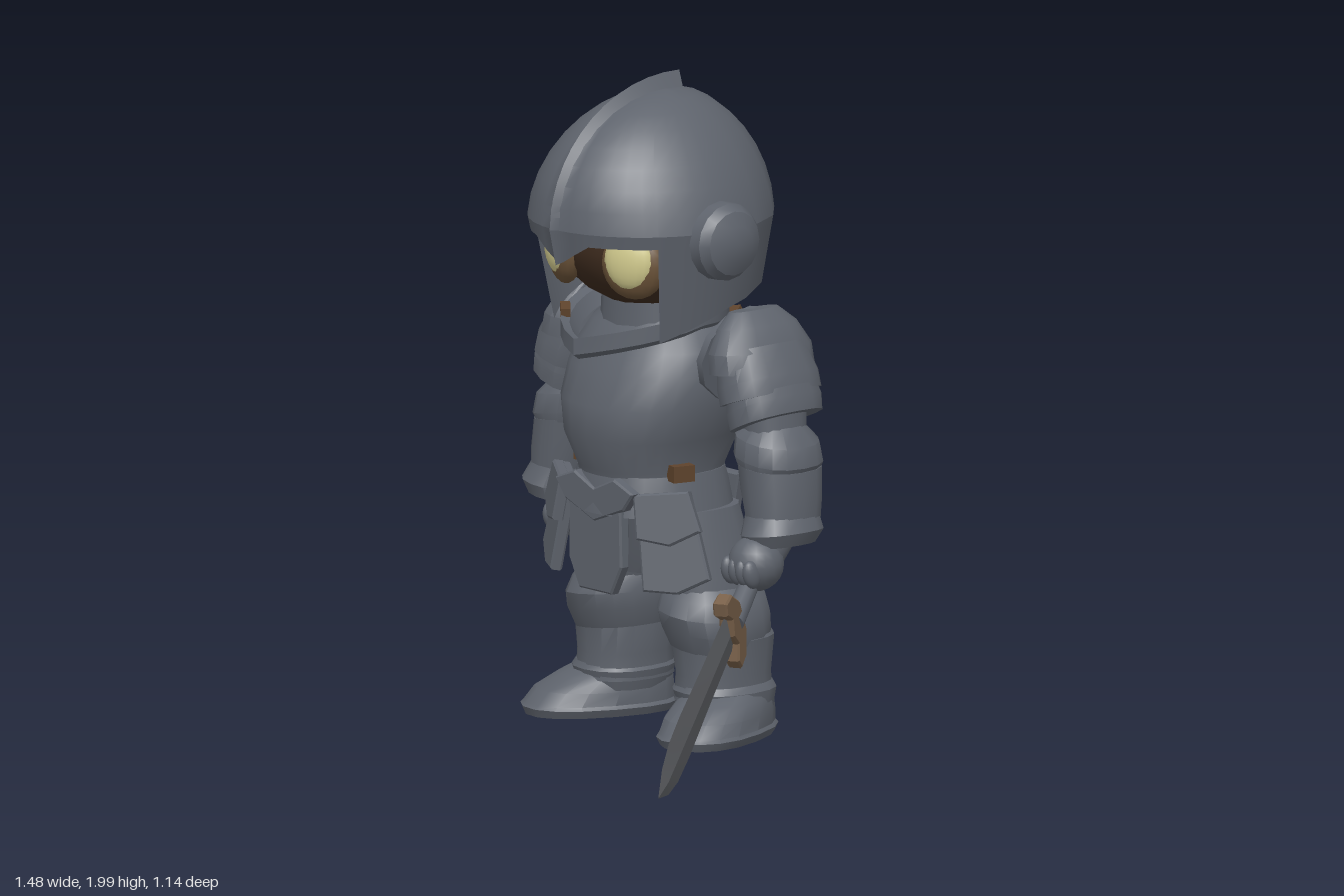
import * as THREE from 'three';
import { toCreasedNormals } from 'three/addons/utils/BufferGeometryUtils.js';

const mat = (name, color, side = THREE.FrontSide) => {
  const m = new THREE.MeshStandardMaterial({ color, side });
  m.name = name;
  return m;
};

export function createModel() {
  const steel = mat('steel', 0x5e636c, THREE.DoubleSide);
  const bladeSteel = mat('blade steel', 0x5e6064);
  const bronze = mat('guard bronze', 0x786049);
  const leather = mat('strap leather', 0x5e432c);
  const skin = mat('dark face', 0x3c2a1d);
  const rim = mat('eye rim', 0x6a5238);
  const eye = mat('eye', 0xd2cb8e);

  const root = new THREE.Group();
  root.name = 'armouredKnight';
  const body = new THREE.Group();
  body.name = 'body';
  body.position.x = -0.135;
  root.add(body);

  const add = (name, geo, material, pos = [0, 0, 0], rot = [0, 0, 0], scale = [1, 1, 1], parent = body) => {
    const m = new THREE.Mesh(geo, material);
    m.name = name;
    m.position.set(...pos);
    m.rotation.set(...rot);
    m.scale.set(...scale);
    parent.add(m);
  };

  // Skin a stack of closed rings, listed from bottom to top
  const skinRings = (rings, capped = true, crease = 0.6) => {
    const n = rings[0].length, v = rings.flat(2), idx = [];
    for (let j = 0; j < rings.length - 1; j++) for (let i = 0; i < n; i++) {
      const a = j * n + i, b = j * n + (i + 1) % n;
      idx.push(a, b, b + n, a, b + n, a + n);
    }
    if (capped) [0, rings.length - 1].forEach((j) => {
      const c = v.length / 3;
      for (let k = 0; k < 3; k++) v.push(rings[j].reduce((s, p) => s + p[k], 0) / n);
      for (let i = 0; i < n; i++) {
        const a = j * n + i, b = j * n + (i + 1) % n;
        j ? idx.push(c, a, b) : idx.push(c, b, a);
      }
    });
    const g = new THREE.BufferGeometry();
    g.setAttribute('position', new THREE.Float32BufferAttribute(v, 3));
    g.setIndex(idx);
    return toCreasedNormals(g, crease);
  };

  // Each section is [centre x, y, centre z, radius x, radius z]
  const loft = (sections, tilt = 0, n = 16) => skinRings(sections.map(([cx, y, cz, rx, rz]) =>
    Array.from({ length: n }, (_, i) => {
      const a = (i / n) * Math.PI * 2;
      const sx = Math.sign(Math.sin(a)) * Math.abs(Math.sin(a)) ** 0.85 * rx;
      const sz = Math.sign(Math.cos(a)) * Math.abs(Math.cos(a)) ** 0.85 * rz;
      return [cx + sx, y + sx * tilt, cz + sz];
    })));

  const plate = (pts, depth = 0.025) => new THREE.ExtrudeGeometry(
    new THREE.Shape(pts.map((p) => new THREE.Vector2(...p))),
    { depth, bevelEnabled: true, bevelSize: 0.006, bevelThickness: 0.006, bevelSegments: 1 });
  const ball = new THREE.SphereGeometry(1, 18, 12);
  const lerp = THREE.MathUtils.lerp;

  // Helmet shell with open face, pointed brow and cheek guards
  const half = [0, 3, 10, 20, 30, 40, 48, 54.5, 55, 65, 75, 85, 95, 110, 130, 150, 168, 177, 180];
  const angles = [...half.slice(1, -1).reverse().map((a) => -a), ...half];
  const lowEdge = (a) => {
    if (a < 20) return lerp(1.47, 1.54, a / 20);
    if (a < 55) return 1.54;
    if (a < 95) return lerp(1.24, 1.33, (a - 55) / 40);
    return lerp(1.33, 1.385, Math.min(1, (a - 95) / 45));
  };
  const shell = (fromY, toY, steps) => Array.from({ length: steps + 1 }, (_, j) => angles.map((deg) => {
    const d = Math.abs(deg), a = THREE.MathUtils.degToRad(deg), low = fromY(d);
    const y = low + (toY - low) * Math.sin((j / steps) * Math.PI / 2);
    const up = Math.max(0, (y - 1.58) / 0.38);
    const s = up > 0 ? Math.sqrt(Math.max(0, 1 - up * up)) : 1 - 0.5 * (1.58 - y);
    const ridge = d < 1 || d > 179 ? 1.05 : 1;
    return [0.355 * s * (1 - 0.18 * up) * Math.sin(a), y, -0.17 - 0.04 * (1 - s) + 0.385 * s * ridge * Math.cos(a)];
  }));
  add('helmetDome', skinRings(shell(() => 1.58, 1.96, 9), false, 0.7), steel);
  add('helmetSkirt', skinRings(shell(lowEdge, 1.58, 3), false, 0.7), steel);

  // Crest ridge, rising to its blunt end behind the crown
  const crest = Array.from({ length: 13 }, (_, i) => {
    const t = i / 12, p = lerp(0.1, 1.72, t), c = Math.cos(p), s = Math.sin(p);
    const at = (x, h) => [x, 1.58 + (0.38 + h) * s, -0.17 - 0.04 * (1 - c) + (0.385 + h) * c];
    return [at(0, 0.018 + 0.028 * t * t), at(0.032, -0.015), at(-0.032, -0.015)];
  });
  add('helmetCrest', skinRings(crest, true, 0.5), steel);

  // Face, padded steel lining behind it, and eyes
  add('face', ball, skin, [0, 1.49, -0.17], [0, 0, 0], [0.285, 0.19, 0.265]);
  add('helmetLining', ball, steel, [0, 1.5, -0.25], [0, 0, 0], [0.305, 0.2, 0.255]);
  for (const s of [-1, 1]) {
    add('eyeRim', ball, rim, [s * 0.158, 1.475, 0.036], [0, s * 0.45, 0], [0.104, 0.108, 0.05]);
    add('eye', ball, eye, [s * 0.16, 1.487, 0.055], [0, s * 0.4, 0], [0.082, 0.092, 0.042]);
    // Ear discs
    const disc = new THREE.LatheGeometry([[0.12, 0], [0.118, 0.04], [0.098, 0.068], [0.055, 0.088], [0, 0.094]].map((p) => new THREE.Vector2(...p)), 16);
    add('earDisc', toCreasedNormals(disc, 0.5), steel, [s * 0.33, 1.55, -0.155], [0, 0, -s * Math.PI / 2]);
  }

  // Neck and V-shaped collar
  add('neck', loft([[0, 1.2, -0.2, 0.17, 0.17], [0, 1.42, -0.2, 0.16, 0.16]]), steel);
  const collarRing = (y, r) => Array.from({ length: 24 }, (_, i) => {
    const a = (i / 24) * Math.PI * 2, f = Math.max(0, 1 - Math.min(a, Math.PI * 2 - a) / (Math.PI / 2));
    return [0.255 * r * Math.sin(a), y - 0.09 * f, -0.16 + (0.23 + 0.07 * f) * r * Math.cos(a)];
  });
  add('collar', skinRings([collarRing(1.26, 0.93), collarRing(1.275, 1), collarRing(1.325, 1), collarRing(1.315, 0.9), collarRing(1.27, 0.8)], false, 0.4), steel);
  add('collarStrap', new THREE.BoxGeometry(0.07, 0.025, 0.03), leather, [-0.168, 1.283, 0.026], [0, -0.7, -0.15]);

  // Breastplate and waist
  add('breastplate', loft([[0, 0.77, -0.17, 0.2, 0.21], [0, 0.82, -0.17, 0.2, 0.22], [0, 0.92, -0.17, 0.24, 0.26],
    [0, 1.02, -0.19, 0.272, 0.275], [0, 1.12, -0.215, 0.28, 0.26], [0, 1.19, -0.225, 0.262, 0.235], [0, 1.25, -0.22, 0.225, 0.19], [0, 1.31, -0.21, 0.15, 0.13]], 0, 24), steel);
  add('waistLame', loft([[0, 0.69, -0.17, 0.235, 0.235], [0, 0.77, -0.17, 0.215, 0.225], [0, 0.81, -0.17, 0.205, 0.215]], 0, 24), steel);
  add('hips', loft([[0, 0.5, -0.2, 0.13, 0.16], [0, 0.6, -0.2, 0.2, 0.185], [0, 0.72, -0.19, 0.22, 0.21]]), steel);
  add('waistChevron', plate([[-0.17, 0.77], [-0.09, 0.8], [0, 0.76], [0.09, 0.8], [0.17, 0.77], [0.13, 0.72], [0, 0.67], [-0.13, 0.72]]), steel, [0, 0, 0.03]);

  // Hanging plates, front and back
  add('frontApron', plate([[-0.11, 0.74], [0.11, 0.74], [0.115, 0.54], [0.07, 0.455], [-0.07, 0.455], [-0.115, 0.54]]), steel, [0, 0, 0.025]);
  add('backApron', plate([[-0.12, 0.76], [0.12, 0.76], [0.08, 0.58], [0, 0.52], [-0.08, 0.58]]), steel, [0, 0, -0.435]);
  const tasset = [[-0.085, 0.15], [0.07, 0.14], [0.1, -0.12], [0, -0.15], [-0.1, -0.13]];
  const lame = [[-0.088, 0.155], [0.073, 0.145], [0.095, 0.03], [0, 0.0], [-0.095, 0.03]];
  for (const s of [-1, 1]) for (const [z, turn, lean, roll] of [[-0.04, 0.6, -0.16, 0.17], [-0.35, 2.5, -0.12, -0.1]]) {
    const g = new THREE.Group();
    g.name = 'tasset';
    g.position.set(s * 0.25, 0.625, z);
    g.rotation.set(0, s * turn, s * roll);
    g.scale.x = s;
    body.add(g);
    add('tassetPlate', plate(tasset), steel, [0, 0, 0], [lean, 0, 0], [1, 1, 1], g);
    add('tassetLame', plate(lame), steel, [0, 0, 0.022], [lean, 0, 0], [1, 1, 1], g);
  }

  for (const s of [-1, 1]) {
    const L = (sections, tilt = 0) => loft(sections.map(([x, ...r]) => [x * s, ...r]), tilt * s);
    // Belt buckle and shoulder strap
    add('beltBuckle', new THREE.BoxGeometry(0.05, 0.05, 0.07), leather, [s * 0.215, 0.825, -0.1], [0, -s * 0.25, 0]);
    add('shoulderStrap', new THREE.BoxGeometry(0.055, 0.04, 0.03), leather, [s * 0.15, 1.265, -0.365], [0.5, s * 0.4, 0]);

    // Pauldron: cap over two lames, with a raised inner flange
    add('pauldronLowerLame', L([[0.45, 1.0, -0.275, 0.1, 0.155], [0.44, 1.05, -0.275, 0.1, 0.16], [0.41, 1.14, -0.275, 0.085, 0.14]], 0.45), steel);
    add('pauldronMiddleLame', L([[0.425, 1.07, -0.275, 0.105, 0.172], [0.41, 1.12, -0.275, 0.105, 0.172], [0.38, 1.21, -0.275, 0.085, 0.15]], 0.35), steel);
    add('pauldronCap', L([[0.385, 1.15, -0.275, 0.1, 0.182], [0.375, 1.21, -0.275, 0.095, 0.18], [0.36, 1.28, -0.275, 0.07, 0.14], [0.345, 1.325, -0.275, 0.035, 0.09]], 0.1), steel);
    add('pauldronFlange', new THREE.CylinderGeometry(1, 1, 1, 12), steel, [s * 0.305, 1.18, -0.28], [0, 0, s * (Math.PI / 2 - 0.2)], [0.15, 0.025, 0.185]);

    // Arm, elbow guard and flared gauntlet
    add('upperArm', L([[0.455, 0.85, -0.27, 0.08, 0.09], [0.43, 1.1, -0.28, 0.08, 0.11]]), steel);
    add('elbowGuard', L([[0.46, 0.84, -0.275, 0.095, 0.12], [0.46, 0.89, -0.275, 0.12, 0.135], [0.455, 0.95, -0.275, 0.115, 0.125], [0.45, 1.0, -0.275, 0.07, 0.08]], -0.15), steel);
    add('forearm', L([[0.495, 0.68, -0.265, 0.09, 0.115], [0.48, 0.78, -0.27, 0.105, 0.125], [0.465, 0.87, -0.275, 0.11, 0.13]], -0.1), steel);
    add('gauntletCuff', L([[0.495, 0.63, -0.25, 0.09, 0.11], [0.5, 0.67, -0.255, 0.105, 0.13], [0.485, 0.73, -0.265, 0.09, 0.115]], 0.12), steel);
    const [hx, hy, hz] = s > 0 ? [0.49, 0.585, -0.16] : [-0.475, 0.575, -0.29];
    add('hand', ball, steel, [hx, hy, hz], [0, 0, 0], [0.085, 0.085, 0.085]);
    add('wrist', L([[Math.abs(hx), 0.56, hz, 0.06, 0.065], [0.49, 0.68, -0.24, 0.07, 0.08]]), steel);
    for (let i = 0; i < 4; i++)
      add('finger', ball, steel, [hx - 0.05 + i * 0.033, hy - 0.02, hz + 0.06], [0.3, 0, 0], [0.022, 0.045, 0.03]);

    // Leg armour
    add('thighPlate', L([[0.2, 0.4, -0.25, 0.115, 0.15], [0.18, 0.5, -0.24, 0.12, 0.155], [0.13, 0.7, -0.21, 0.115, 0.16]]), steel);
    add('kneeGuard', L([[0.215, 0.28, -0.25, 0.13, 0.15], [0.213, 0.34, -0.24, 0.147, 0.168], [0.21, 0.39, -0.235, 0.145, 0.175], [0.205, 0.44, -0.24, 0.132, 0.16], [0.2, 0.475, -0.24, 0.105, 0.135]], -0.1), steel);
    add('greave', L([[0.225, 0.12, -0.26, 0.125, 0.155], [0.225, 0.2, -0.26, 0.12, 0.15], [0.22, 0.31, -0.26, 0.135, 0.16], [0.215, 0.335, -0.26, 0.12, 0.145]]), steel);
    add('ankleBand', L([[0.235, 0.09, -0.26, 0.125, 0.145], [0.23, 0.15, -0.26, 0.135, 0.16], [0.23, 0.17, -0.26, 0.12, 0.15]]), steel);

    // Boot turned outward
    const boot = loft([[0, 0.01, 0.04, 0.135, 0.235], [0, 0.035, 0.04, 0.148, 0.245], [0, 0.045, 0.04, 0.14, 0.235],
      [0, 0.085, 0.025, 0.138, 0.215], [0, 0.125, -0.01, 0.125, 0.175], [0, 0.165, -0.05, 0.1, 0.12]]);
    add('boot', boot, steel, [s * 0.255, 0, -0.235], [0, s * 0.36, 0]);
  }

  // Blade along local +y from the guard at the origin, flat in local xy
  const weapon = (name, from, to, width, guardSize) => {
    const a = new THREE.Vector3(...from), d = new THREE.Vector3(...to).sub(a), len = d.length();
    d.normalize();
    const n = new THREE.Vector3(-d.z, 0, d.x).normalize();
    const g = new THREE.Group();
    g.name = name;
    g.quaternion.setFromRotationMatrix(new THREE.Matrix4().makeBasis(d.clone().cross(n), d, n));
    g.position.copy(a);
    body.add(g);
    // Diamond-section blade, widest towards the tip
    const sections = [[0, 0.4], [0.35, 0.44], [0.65, 0.5], [0.8, 0.47], [0.91, 0.32], [1, 0.02]];
    const rings = sections.map(([t, w]) => [[0, 0.011], [1, 0], [0, -0.011], [-1, 0]].map(([x, z]) =>
      [x * w * width, t * len, z * Math.min(1, w * 3)]));
    add('blade', skinRings(rings, true, 0.1), bladeSteel, [0, 0, 0], [0, 0, 0], [1, 1, 1], g);
    const k = guardSize / 2;
    const guard = plate([[-k, 0.045], [-k * 0.75, 0.055], [-k * 0.4, 0.025], [0, 0.045], [k * 0.4, 0.025], [k * 0.75, 0.055], [k, 0.045],
      [k * 0.95, 0], [k * 0.45, -0.04], [-k * 0.45, -0.04], [-k * 0.95, 0]], 0.035);
    add('guard', guard, bronze, [0, 0, -0.0175], [0, 0, 0], [1, 1, 1], g);
    add('grip', new THREE.CylinderGeometry(0.034, 0.03, 0.2, 10), steel, [0, -0.11, 0], [0, 0, 0], [1, 1, 1], g);
    add('pommel', ball, steel, [0, -0.215, 0], [0, 0, 0], [0.035, 0.03, 0.035], g);
  };
  weapon('sword', [0.565, 0.43, 0.0], [0.875, 0.03, 0.56], 0.165, 0.25);
  weapon('dagger', [-0.475, 0.525, -0.345], [-0.485, 0.01, -0.475], 0.155, 0.1);

  return root;
}
